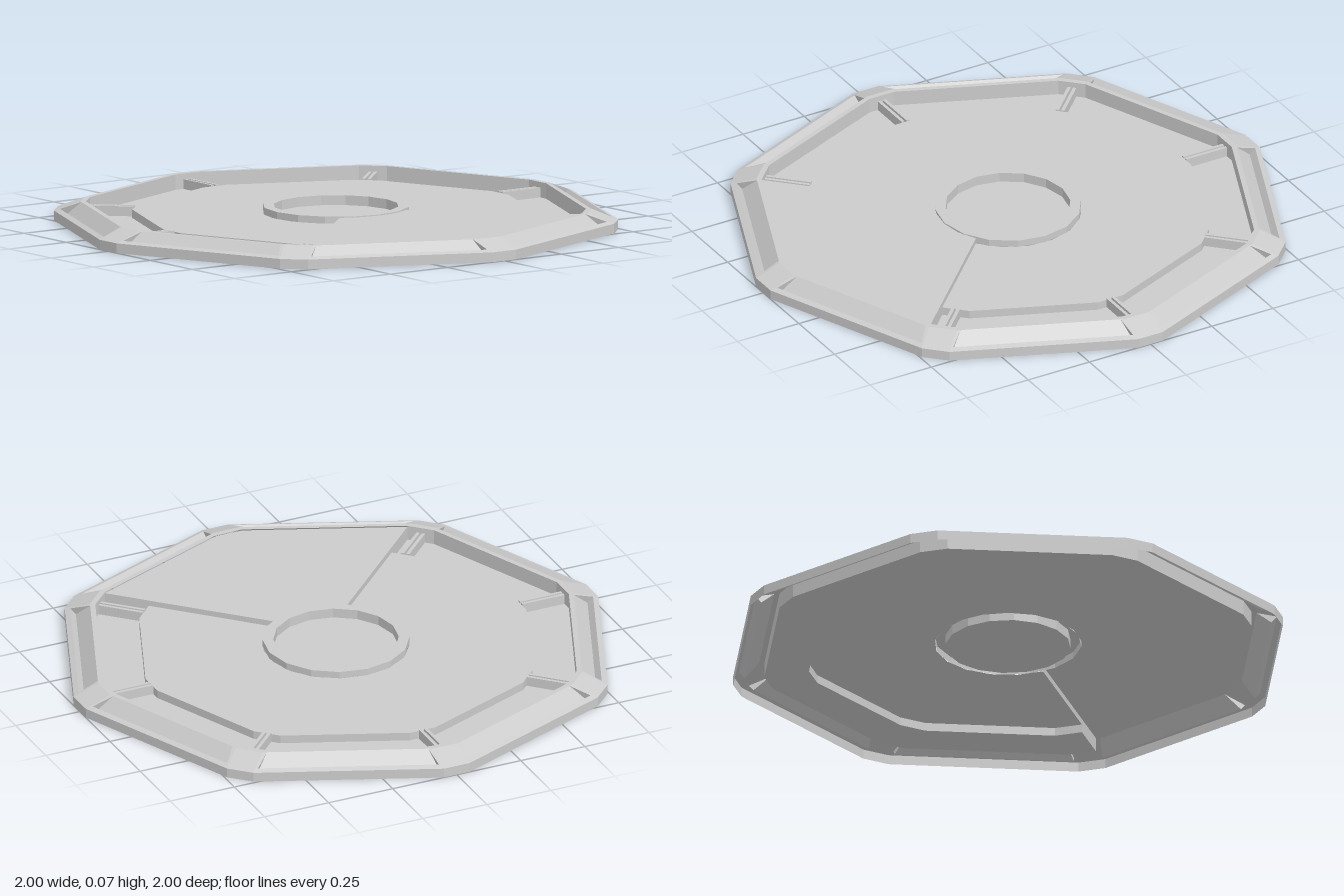
import * as THREE from 'three';

const GUTTER = 0.015, PLATE = 0.045, WEDGE = 0.066, TOP = 0.07, LIP = 0.035;
const R_OUT = 1, R_TOP = 0.905, R_IN = 0.885, R_PLATE = 0.72, R_HUB = 0.26;
const FLAT = 0.05; // half width of each cut corner

const material = new THREE.MeshStandardMaterial({ color: 0xcccccc, flatShading: true, side: THREE.DoubleSide });

// Point beside the radial line of corner k, shifted sideways
function corner(k, r, shift, y) {
  const a = k * Math.PI / 4, c = Math.cos(a), s = Math.sin(a);
  return [r * c + shift * s, y, r * s - shift * c];
}

// Both points of each cut corner from k = first to last
function path(r, y, first, last) {
  const pts = [];
  for (let k = first; k <= last; k++) pts.push(corner(k, r, FLAT, y), corner(k, r, -FLAT, y));
  return pts;
}

// Mesh from three- or four-cornered faces
function facesMesh(name, faces) {
  const pos = [];
  for (const f of faces) {
    for (let i = 1; i < f.length - 1; i++) pos.push(...f[0], ...f[i + 1], ...f[i]);
  }
  const g = new THREE.BufferGeometry();
  g.setAttribute('position', new THREE.Float32BufferAttribute(pos, 3));
  g.computeVertexNormals();
  const m = new THREE.Mesh(g, material);
  m.name = name;
  return m;
}

// Strip of faces joining two paths
function strip(lower, upper) {
  const faces = [];
  for (let i = 0; i < lower.length - 1; i++) faces.push([lower[i], lower[i + 1], upper[i + 1], upper[i]]);
  return faces;
}

// Flat horizontal panel from an outline
function panel(name, outline, y) {
  const shape = new THREE.Shape(outline.map(p => new THREE.Vector2(p[0], -p[2])));
  const g = new THREE.ShapeGeometry(shape);
  g.rotateX(-Math.PI / 2);
  const m = new THREE.Mesh(g, material);
  m.position.y = y;
  m.name = name;
  return m;
}

// Arc of the hub edge, between two angles
function hubArc(from, to, steps) {
  const pts = [];
  for (let i = 0; i <= steps; i++) {
    const a = from + (to - from) * i / steps;
    pts.push([R_HUB * Math.cos(a), 0, R_HUB * Math.sin(a)]);
  }
  return pts;
}

// Sloped side of the rim with its long notch
function rimSide(k) {
  const mid = (k + 0.5) * Math.PI / 4, c = Math.cos(mid), s = Math.sin(mid);
  const at = (a, t, y) => [a * c - t * s, y, a * s + t * c];
  const faces = [];
  const e = sign => ({
    out: sign < 0 ? corner(k, R_OUT, -FLAT, LIP) : corner(k + 1, R_OUT, FLAT, LIP),
    top: sign < 0 ? corner(k, R_TOP, -FLAT, TOP) : corner(k + 1, R_TOP, FLAT, TOP),
    lip: at(0.924, sign * 0.32, 0.0425),
    deep: at(0.904, sign * 0.318, 0.02),
    back: at(0.855, sign * 0.285, TOP),
  });
  const l = e(-1), r = e(1);
  faces.push([l.out, r.out, r.lip, l.lip]);   // lip
  faces.push([l.lip, r.lip, r.deep, l.deep]); // notch front
  faces.push([l.deep, r.deep, r.back, l.back]); // notch back
  faces.push([l.out, l.lip, l.back, l.top], [r.lip, r.out, r.top, r.back]);
  faces.push([l.lip, l.deep, l.back], [r.deep, r.lip, r.back]);
  return faces;
}

export function createModel() {
  const model = new THREE.Group();
  model.name = 'octagonalPlatform';

  // Rim: outer wall, sloped sides, corner faces, top band
  model.add(facesMesh('outerWall', strip(path(R_OUT, 0, 0, 8), path(R_OUT, LIP, 0, 8))));
  const slopes = [], corners = [];
  for (let k = 0; k < 8; k++) {
    slopes.push(...rimSide(k));
    corners.push([corner(k, R_OUT, FLAT, LIP), corner(k, R_OUT, -FLAT, LIP),
      corner(k, R_TOP, -FLAT, TOP), corner(k, R_TOP, FLAT, TOP)]);
  }
  model.add(facesMesh('notchedRimSides', slopes));
  model.add(facesMesh('rimCorners', corners));
  model.add(facesMesh('rimTop', strip(path(R_TOP, TOP, 0, 8), path(R_IN, TOP, 0, 8))));

  // Gutter between the rim and the raised plate
  const rimPath = path(R_IN, GUTTER, 1, 7), platePath = path(R_PLATE, GUTTER, 1, 7);
  model.add(facesMesh('rimInnerWall', strip(path(R_IN, TOP, 1, 7), rimPath)));
  model.add(facesMesh('gutterFloor', strip(rimPath, platePath)));
  model.add(facesMesh('plateWall', strip(platePath, path(R_PLATE, PLATE, 1, 7))));

  // Main plate, open where the wedge sits
  const gap = Math.PI / 4 - Math.asin(FLAT / R_HUB);
  model.add(panel('mainPlate', [...path(R_PLATE, 0, 1, 7), ...hubArc(Math.PI * 2 - gap, gap, 14)], PLATE));

  // Raised wedge on the left side, level with the rim
  model.add(panel('wedgePanel', [...hubArc(-gap, gap, 4), corner(1, R_IN, FLAT, 0),
    corner(0, R_IN, -FLAT, 0), corner(0, R_IN, FLAT, 0), corner(7, R_IN, -FLAT, 0)], WEDGE));
  const wedgeWalls = [];
  for (const [k, d] of [[1, FLAT], [7, -FLAT]]) {
    for (const [r0, r1, y] of [[0.255, R_PLATE, PLATE], [R_PLATE, R_IN, GUTTER]]) {
      const f = [corner(k, r0, d, y), corner(k, r1, d, y), corner(k, r1, d, WEDGE), corner(k, r0, d, WEDGE)];
      wedgeWalls.push(k === 1 ? f.reverse() : f);
    }
  }
  model.add(facesMesh('wedgeWalls', wedgeWalls));

  // Hub: raised ring around a sunken disc
  const profile = [[0, 0.035], [0.222, 0.035], [0.222, TOP], [R_HUB, TOP], [R_HUB, PLATE]];
  const hub = new THREE.Mesh(
    new THREE.LatheGeometry(profile.map(p => new THREE.Vector2(...p)).reverse(), 16), material);
  hub.name = 'hubRing';
  model.add(hub);

  // Spokes: pairs of narrow rails bridging the gutter at the corners
  for (let k = 1; k <= 7; k++) {
    const spoke = new THREE.Group();
    spoke.name = 'spoke';
    for (const side of [-1, 1]) {
      const rail = new THREE.Mesh(new THREE.BoxGeometry(R_IN - R_PLATE, 0.035, 0.012), material);
      rail.position.set((R_IN + R_PLATE) / 2, GUTTER + 0.0175, side * 0.01);
      spoke.add(rail);
    }
    spoke.rotation.y = -k * Math.PI / 4;
    model.add(spoke);
  }
  return model;
}
